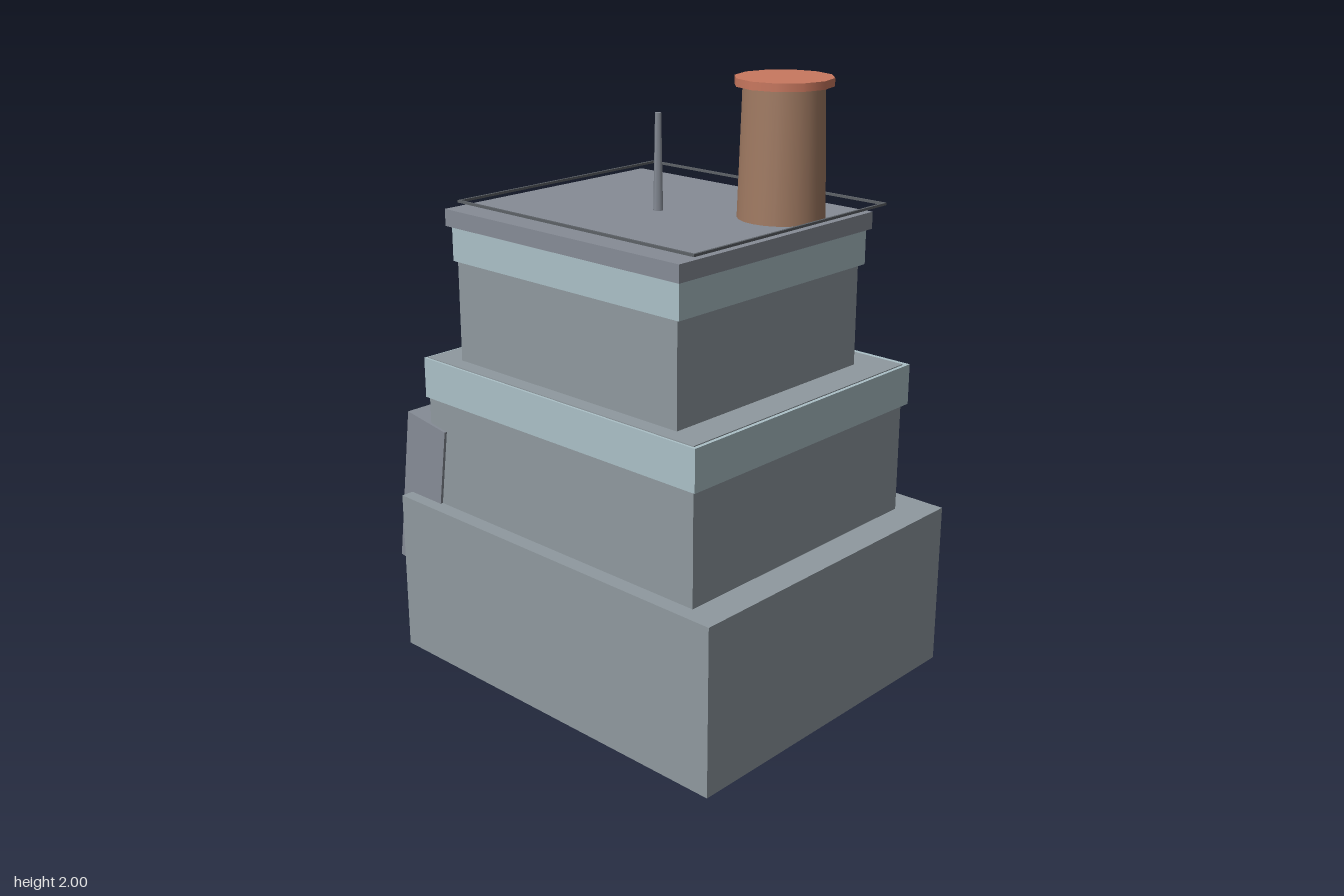
import * as THREE from 'three';

const mat = (color) => new THREE.MeshStandardMaterial({ color });

export function createModel() {
  const model = new THREE.Group();
  const wall = mat(0x8f999f), trim = mat(0xabc0c7), slate = mat(0x868c96);
  const metal = mat(0x5c6166), clay = mat(0xa07a62), terracotta = mat(0xc9785f);

  const add = (name, geometry, material, x, y, z) => {
    const mesh = new THREE.Mesh(geometry, material);
    mesh.name = name;
    mesh.position.set(x, y, z);
    model.add(mesh);
    return mesh;
  };
  // Box given by its limits on each axis
  const block = (name, material, [x0, x1], [y0, y1], [z0, z1]) =>
    add(name, new THREE.BoxGeometry(x1 - x0, y1 - y0, z1 - z0), material,
      (x0 + x1) / 2, (y0 + y1) / 2, (z0 + z1) / 2);

  // Stepped storeys, each upper one with a pale trim band
  block('base', wall, [-0.66, 0.735], [0, 0.56], [-0.585, 0.585]);
  block('middleStorey', wall, [-0.55, 0.625], [0.56, 1.067], [-0.472, 0.532]);
  block('middleTrim', trim, [-0.56, 0.637], [0.928, 1.064], [-0.495, 0.54]);
  block('upperStorey', wall, [-0.44, 0.512], [1.067, 1.515], [-0.362, 0.479]);
  block('upperTrim', trim, [-0.453, 0.525], [1.4, 1.515], [-0.38, 0.487]);
  block('roofSlab', slate, [-0.465, 0.54], [1.515, 1.57], [-0.39, 0.503]);

  // Leaning slab on the side wall
  const prop = add('leaningPanel', new THREE.BoxGeometry(0.192, 0.556, 0.25), slate, -0.605, 0.5635, 0.4165);
  prop.rotation.z = -0.144;

  // Thin rail floating above the roof
  const t = 0.004, y = [1.581, 1.589];
  const x0 = -0.464, x1 = 0.541, z0 = -0.451, z1 = 0.444;
  for (const z of [z0, z1]) block('roofRail', metal, [x0 - t, x1 + t], y, [z - t, z + t]);
  for (const x of [x0, x1]) block('roofRail', metal, [x - t, x + t], y, [z0 + t, z1 - t]);

  // Mast and chimney
  add('mast', new THREE.CylinderGeometry(0.01, 0.016, 0.31, 6), slate, 0.037, 1.722, 0.055);
  add('chimney', new THREE.CylinderGeometry(0.126, 0.138, 0.41, 24), clay, 0.375, 1.772, -0.14);
  const cap = new THREE.CylinderGeometry(0.153, 0.153, 0.025, 12);
  add('chimneyCap', cap, terracotta, 0.375, 1.9875, -0.14);

  return model;
}
